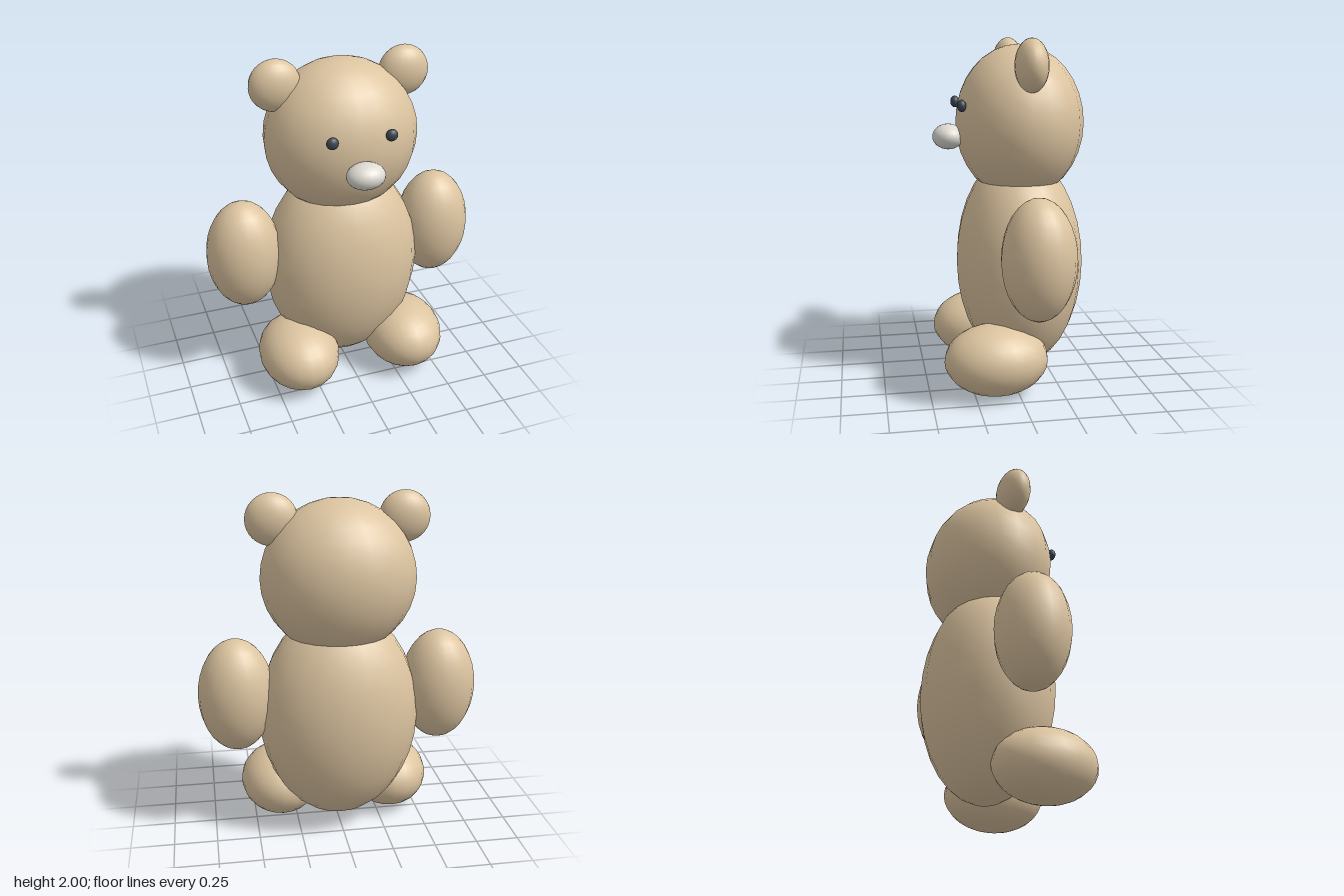
import * as THREE from 'three';

function material(name, color) {
  const m = new THREE.MeshStandardMaterial({ color });
  m.name = name;
  return m;
}

export function createModel() {
  const bear = new THREE.Group();
  bear.name = 'teddyBear';

  const fur = material('tan fur', 0xdcc4a0);
  const noseGrey = material('pale grey', 0xdedbd3);
  const eyeDark = material('dark slate', 0x3a4650);

  const ball = new THREE.SphereGeometry(1, 20, 16);

  // Every part is a stretched ball: centre and radii
  function ellipsoid(name, mat, centre, radii) {
    const mesh = new THREE.Mesh(ball, mat);
    mesh.name = name;
    mesh.position.set(...centre);
    mesh.scale.set(...radii);
    bear.add(mesh);
  }

  // Torso, head and nose
  ellipsoid('body', fur, [0, 0.7, -0.065], [0.47, 0.637, 0.37]);
  ellipsoid('head', fur, [0, 1.52, -0.065], [0.447, 0.445, 0.37]);
  ellipsoid('nose', noseGrey, [0, 1.443, 0.347], [0.11, 0.073, 0.091]);

  // Paired parts
  for (const [side, s] of [['left', 1], ['right', -1]]) {
    ellipsoid(side + 'Ear', fur, [s * 0.374, 1.854, -0.065], [0.147, 0.146, 0.091]);
    ellipsoid(side + 'Eye', eyeDark, [s * 0.168, 1.63, 0.288], [0.034, 0.034, 0.026]);
    ellipsoid(side + 'Arm', fur, [s * 0.6, 0.845, -0.065], [0.22, 0.335, 0.204]);
    ellipsoid(side + 'Leg', fur, [s * 0.338, 0.207, 0.124], [0.24, 0.204, 0.296]);
  }

  return bear;
}
